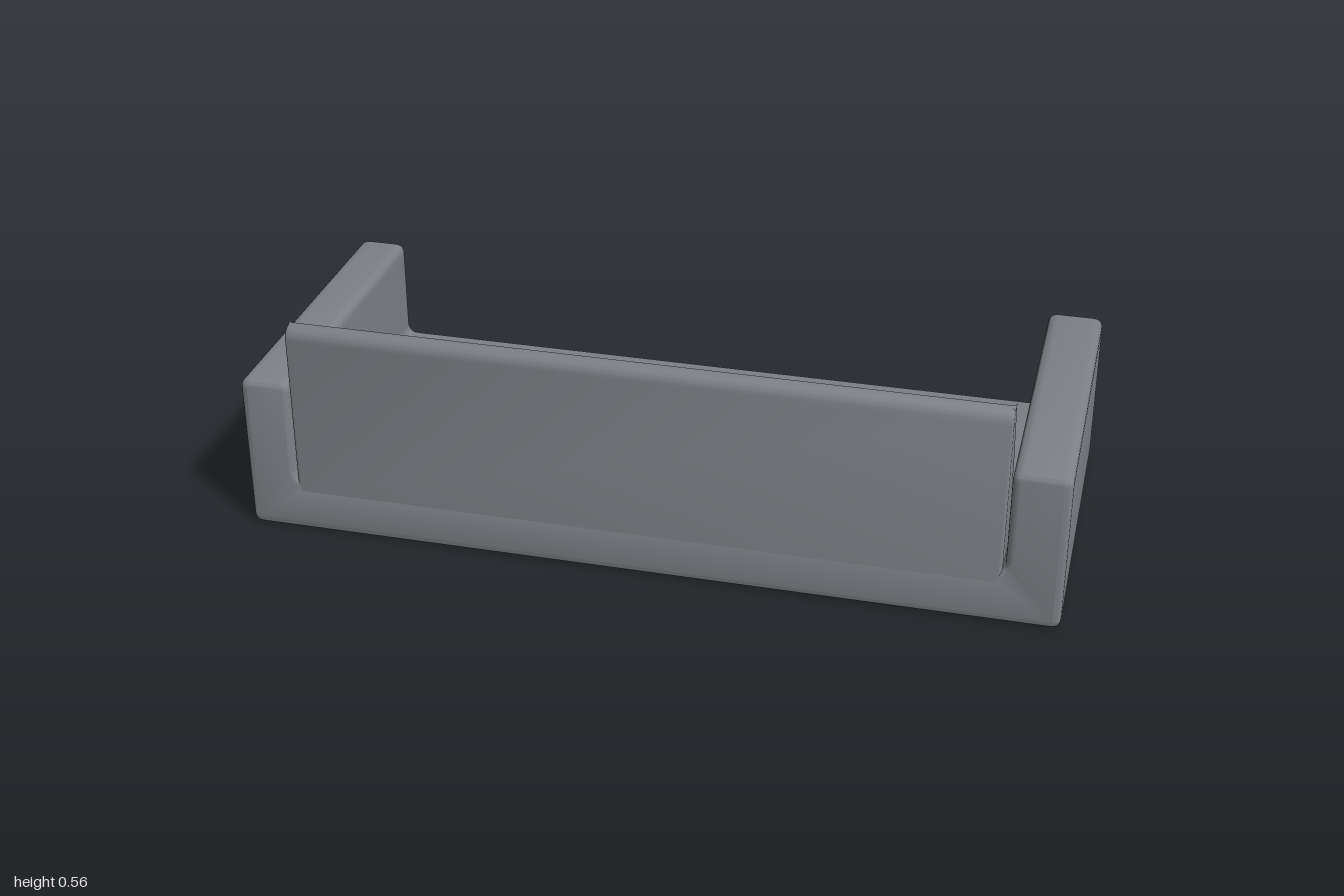
import * as THREE from 'three';
import { toCreasedNormals } from 'three/addons/utils/BufferGeometryUtils.js';

const DEPTH = 0.834, HALF = DEPTH / 2;

// Closed shape from [x, y, cornerRadius] points
function roundedShape(points) {
  const shape = new THREE.Shape();
  const n = points.length;
  points.forEach(([x, y, r], i) => {
    const p = new THREE.Vector2(x, y);
    const toward = ([qx, qy]) => new THREE.Vector2(qx, qy).sub(p).setLength(r).add(p);
    const a = toward(points[(i + n - 1) % n]);
    const b = toward(points[(i + 1) % n]);
    if (i === 0) shape.moveTo(a.x, a.y);
    else shape.lineTo(a.x, a.y);
    if (r > 0) shape.quadraticCurveTo(x, y, b.x, b.y);
  });
  shape.closePath();
  return shape;
}

// Extrusion of a given total length, centred on z, with rounded end edges
function softExtrude(shape, length, bevel) {
  const geometry = new THREE.ExtrudeGeometry(shape, {
    depth: length - 2 * bevel, curveSegments: 5,
    bevelEnabled: true, bevelThickness: bevel, bevelSize: bevel,
    bevelOffset: -bevel, bevelSegments: 4,
  });
  geometry.translate(0, 0, bevel - length / 2);
  return toCreasedNormals(geometry, 0.6);
}

export function createModel() {
  const group = new THREE.Group();
  group.name = 'sofa';
  const fabric = new THREE.MeshStandardMaterial({ color: 0x7d8186 });
  fabric.name = 'grey fabric';

  // Seat and both arms as one U-shaped body
  const body = new THREE.Mesh(softExtrude(roundedShape([
    [-1, 0, 0.025], [1, 0, 0.025], [1, 0.404, 0.025], [0.863, 0.404, 0.025],
    [0.863, 0.14, 0.025], [-0.877, 0.14, 0.025], [-0.877, 0.404, 0.025], [-1, 0.404, 0.025],
  ]), DEPTH, 0.018), fabric);
  body.name = 'seatAndArms';
  group.add(body);

  // Backrest: side profile (z, y) drawn out along x
  const back = softExtrude(roundedShape([
    [HALF, 0.11, 0], [HALF, 0.558, 0.035], [0.362, 0.558, 0.035],
    [0.316, 0.388, 0.015], [0.283, 0.165, 0.012], [0.255, 0.138, 0], [0.255, 0.11, 0],
  ]), 1.729, 0.01);
  back.rotateY(-Math.PI / 2);
  back.translate(-0.0075, 0, 0);
  const backrest = new THREE.Mesh(back, fabric);
  backrest.name = 'backrest';
  group.add(backrest);

  return group;
}
